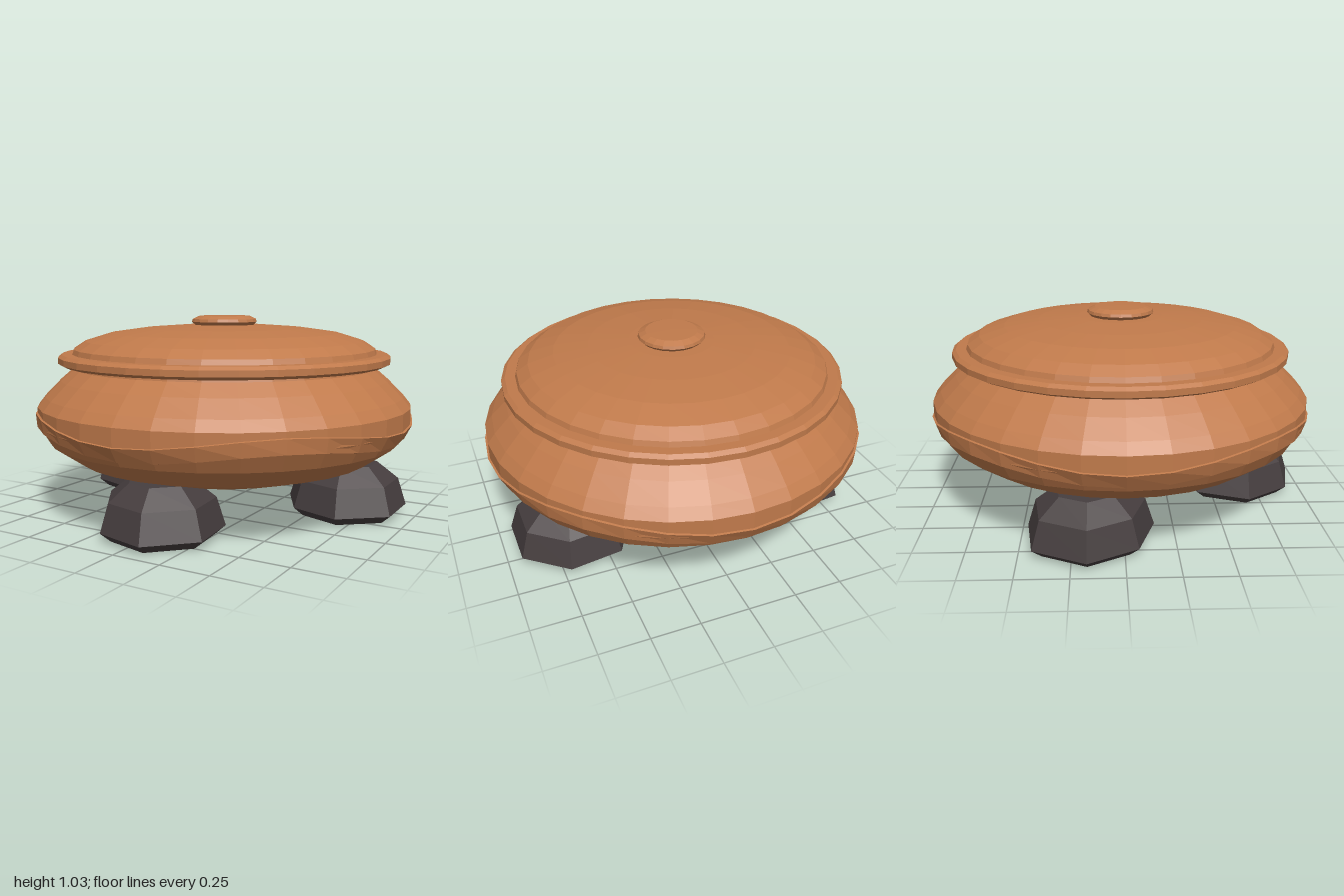
import * as THREE from 'three';

const clay = new THREE.MeshStandardMaterial({ color: 0xc07a4b });
clay.name = 'terracotta';
const rock = new THREE.MeshStandardMaterial({ color: 0x463e3f });
rock.name = 'dark stone';

const SEGMENTS = 32;

// Faceted mesh from any geometry
function facet(name, geometry, material) {
  const flat = geometry.index ? geometry.toNonIndexed() : geometry;
  flat.computeVertexNormals();
  const mesh = new THREE.Mesh(flat, material);
  mesh.name = name;
  return mesh;
}

// Turned form from [radius, height] pairs, listed bottom to top on the outside
function turned(profile, segments = SEGMENTS) {
  return new THREE.LatheGeometry(profile.map(([r, y]) => new THREE.Vector2(r, y)), segments);
}

const bowl = [
  [0, 0.22], [0.57, 0.22], [0.79, 0.285], [0.935, 0.385], [0.99, 0.48],
  [0.99, 0.57], [0.95, 0.62], [0.87, 0.70], [0.80, 0.76], [0.79, 0.80],
];

// Bowl radius at a given height
function bowlRadius(y) {
  for (let i = 2; i < bowl.length; i++) {
    const [r0, y0] = bowl[i - 1], [r1, y1] = bowl[i];
    if (y <= y1) return r0 + (r1 - r0) * (y - y0) / (y1 - y0);
  }
  return 0.79;
}

// Low raised band that undulates around the belly
function wavyBand() {
  const rows = [[-0.01, 0.435], [0.010, 0.44], [0.010, 0.51], [-0.01, 0.515]];
  const geometry = turned(rows.map(([, y]) => [1, y]));
  const p = geometry.attributes.position;
  for (let i = 0; i < p.count; i++) {
    const angle = Math.atan2(p.getX(i), p.getZ(i));
    const y = p.getY(i) - 0.03 * Math.cos(4 * angle);
    const r = Math.min(1, bowlRadius(y) + rows[i % rows.length][0]);
    p.setXYZ(i, r * Math.sin(angle), y, r * Math.cos(angle));
  }
  return geometry;
}

// Rough stone: a seven-sided dome with a slightly uneven outline
function stone(turn, seed) {
  const geometry = turned(
    [[0, 0], [0.265, 0], [0.32, 0.045], [0.275, 0.185], [0.165, 0.27], [0, 0.27]], 7);
  const p = geometry.attributes.position;
  for (let i = 0; i < p.count; i++) {
    const angle = Math.atan2(p.getX(i), p.getZ(i));
    const k = 1 + 0.035 * Math.sin(2 * angle + seed) + 0.02 * Math.sin(3 * angle + seed * 2);
    p.setX(i, p.getX(i) * k);
    p.setZ(i, p.getZ(i) * k);
  }
  return geometry.rotateY(turn);
}

export function createModel() {
  const model = new THREE.Group();
  model.name = 'potOnStones';

  model.add(facet('bowl', turned(bowl), clay));
  model.add(facet('wavyBand', wavyBand(), clay));

  // Flanged rim
  model.add(facet('rim', turned([
    [0.76, 0.78], [0.85, 0.775], [0.88, 0.79], [0.88, 0.82], [0.86, 0.835], [0.76, 0.835],
  ]), clay));

  // Shallow domed lid and its flat knob
  model.add(facet('lid', turned([
    [0.81, 0.83], [0.80, 0.86], [0.74, 0.90], [0.61, 0.94],
    [0.43, 0.965], [0.22, 0.98], [0, 0.982],
  ]), clay));
  model.add(facet('knob', turned([
    [0.15, 0.97], [0.16, 0.983], [0.175, 0.997], [0.17, 1.012], [0.135, 1.028], [0, 1.03],
  ], 20), clay));

  // Three supporting stones
  const stones = [
    ['frontStone', 0.02, 0.65, 0.3, 0.5],
    ['leftStone', 0.645, -0.17, 1.1, 2.1],
    ['rightStone', -0.63, -0.17, 2.0, 3.7],
  ];
  for (const [name, x, z, turn, seed] of stones) {
    const mesh = facet(name, stone(turn, seed), rock);
    mesh.position.set(x, 0, z);
    model.add(mesh);
  }
  return model;
}
